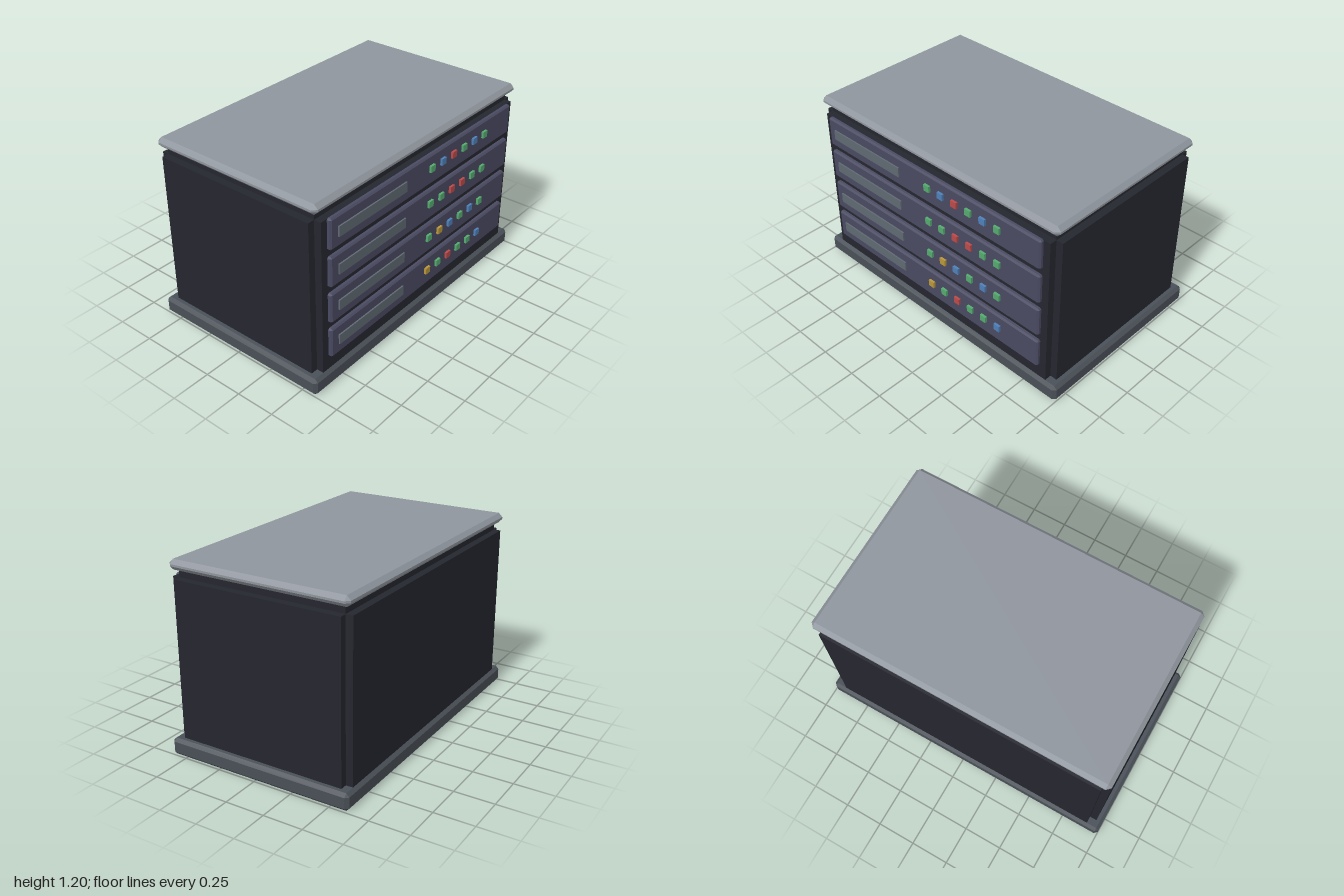
import * as THREE from 'three';
import { ConvexGeometry } from 'three/addons/geometries/ConvexGeometry.js';

const mat = (color) => new THREE.MeshStandardMaterial({ color });
const M = {
  body: mat(0x25272f), base: mat(0x4a5058), lid: mat(0x8f959d),
  drawer: mat(0x4a4a62), handle: mat(0x606a72),
  G: mat(0x55aa70), B: mat(0x4f80b8), R: mat(0xbb4a4a), Y: mat(0xb8963a),
};

// Box with all edges cut off by c, as the hull of its 24 corners
function chamferBox(w, h, d, c) {
  const pts = [];
  const [x, y, z] = [w / 2, h / 2, d / 2];
  for (const i of [-1, 1]) for (const j of [-1, 1]) for (const k of [-1, 1]) {
    pts.push(
      new THREE.Vector3(i * x, j * (y - c), k * (z - c)),
      new THREE.Vector3(i * (x - c), j * y, k * (z - c)),
      new THREE.Vector3(i * (x - c), j * (y - c), k * z));
  }
  return new ConvexGeometry(pts);
}

// Adds a block spanning two opposite corners, chamfered if c is given
function block(parent, name, material, [x0, y0, z0], [x1, y1, z1], c = 0) {
  const size = [x1 - x0, y1 - y0, z1 - z0];
  const geo = c ? chamferBox(...size, c) : new THREE.BoxGeometry(...size);
  const mesh = new THREE.Mesh(geo, material);
  mesh.position.set((x0 + x1) / 2, (y0 + y1) / 2, (z0 + z1) / 2);
  mesh.name = name;
  parent.add(mesh);
  return mesh;
}

export function createModel() {
  const model = new THREE.Group();
  model.name = 'serverCabinet';

  // Plinth and lid
  block(model, 'base', M.base, [-1, 0, -0.62], [1, 0.108, 0.6], 0.02);
  block(model, 'lid', M.lid, [-0.957, 1.14, -0.6], [0.957, 1.203, 0.58], 0.025);

  // Body: core with raised panels that leave the corners notched
  block(model, 'core', M.body, [-0.912, 0.05, -0.555], [0.912, 1.15, 0.535]);
  block(model, 'frontPanel', M.body, [-0.912, 0.09, 0.535], [0.912, 1.093, 0.58]);
  block(model, 'backPanel', M.body, [-0.912, 0.09, -0.6], [0.912, 1.093, -0.555]);
  for (const s of [-1, 1]) {
    const panel = block(model, s > 0 ? 'leftPanel' : 'rightPanel', M.body,
      [0.912, 0.09, -0.555], [0.957, 1.093, 0.535]);
    panel.position.x *= s;
  }

  // Drawer units with a handle plate and a row of lights, top to bottom
  ['GBRGBG', 'GGRRGG', 'GYBGBG', 'YGRGGB'].forEach((lights, row) => {
    const unit = new THREE.Group();
    unit.name = 'drawerUnit';
    unit.position.y = 1.0 - row * 0.2355;
    block(unit, 'drawerFront', M.drawer, [-0.866, -0.097, 0.57], [0.866, 0.097, 0.605], 0.01);
    block(unit, 'handle', M.handle, [-0.807, -0.032, 0.6], [-0.222, 0.032, 0.614]);
    [...lights].forEach((key, i) => {
      const x = 0.02 + i * 0.109;
      block(unit, 'light', M[key], [x - 0.021, -0.009, 0.6], [x + 0.021, 0.033, 0.62]);
    });
    model.add(unit);
  });

  return model;
}
